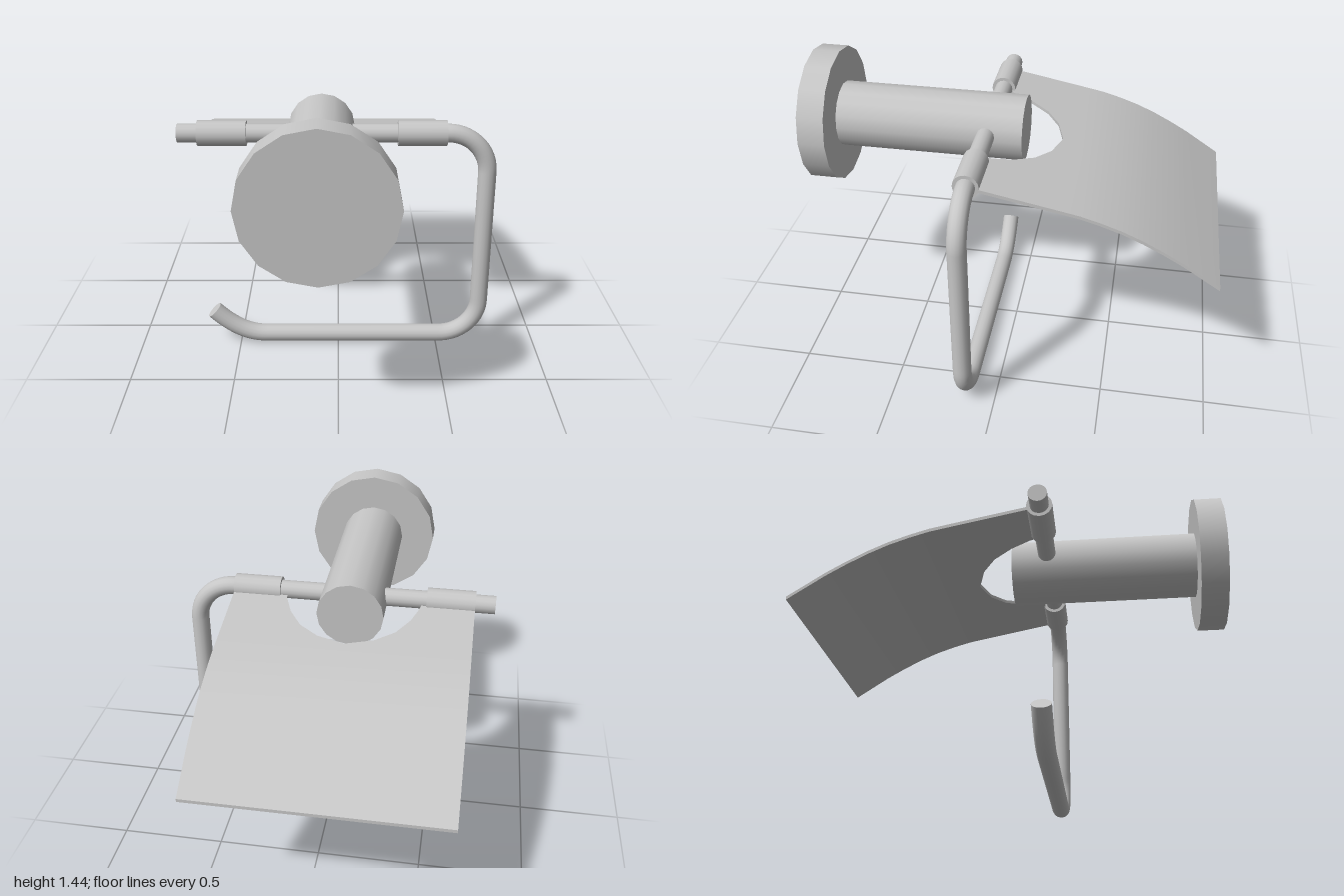
import * as THREE from 'three';
import { mergeGeometries, toCreasedNormals } from 'three/addons/utils/BufferGeometryUtils.js';

const metal = new THREE.MeshStandardMaterial({ color: 0xc6c6c6 });
metal.name = 'brushed metal';

const POST_X = -0.08, POST_Y = 1.11, BAR_Y = 1.13, BAR_Z = 0.14, BAR_R = 0.044;

function addMesh(group, name, geometry) {
  const mesh = new THREE.Mesh(geometry, metal);
  mesh.name = name;
  group.add(mesh);
  return mesh;
}

// Cylinder along z between two depths
function zCylinder(radius, z0, z1) {
  return new THREE.CylinderGeometry(radius, radius, z1 - z0, 16)
    .rotateX(Math.PI / 2).translate(POST_X, POST_Y, (z0 + z1) / 2);
}

// Height of the cover's upper face at depth z
const coverProfile = [[0.1, 1.126], [-0.26, 1.056], [-0.36, 1.036], [-0.45, 1.01], [-0.545, 0.977],
  [-0.636, 0.937], [-0.73, 0.888], [-0.82, 0.836], [-0.99, 0.724]];
function coverY(z) {
  let i = 1;
  while (i < coverProfile.length - 1 && z < coverProfile[i][0]) i++;
  const [z0, y0] = coverProfile[i - 1], [z1, y1] = coverProfile[i];
  return y0 + (y1 - y0) * (z - z0) / (z1 - z0);
}

// Thin bent slab from rows [z, xLow, xHigh], ordered from front to back
function slab(rows, capFront, capBack) {
  const pos = [], idx = [], t = 0.016;
  for (const [z, a, b] of rows) {
    const y = coverY(z);
    pos.push(a, y, z, b, y, z, b, y - t, z, a, y - t, z);
  }
  const quad = (a, b, c, d) => idx.push(a, b, c, a, c, d);
  for (let i = 0; i < rows.length - 1; i++) {
    for (let k = 0; k < 4; k++) {
      const n = (k + 1) % 4, o = i * 4;
      quad(o + k, o + n, o + 4 + n, o + 4 + k);
    }
  }
  if (capFront) quad(3, 2, 1, 0);
  const e = (rows.length - 1) * 4;
  if (capBack) quad(e, e + 1, e + 2, e + 3);
  const g = new THREE.BufferGeometry();
  g.setAttribute('position', new THREE.Float32BufferAttribute(pos, 3));
  g.setIndex(idx);
  return g;
}

// Bent bar path with rounded corners, plus an upturned end
function barPath() {
  const v = (x, y) => new THREE.Vector3(x, y, BAR_Z);
  const right = 0.711, low = 0.047, r = 0.195, k = r * 0.448;
  const path = new THREE.CurvePath();
  const line = (a, b) => path.add(new THREE.LineCurve3(a, b));
  const bend = (a, b, c, d) => path.add(new THREE.CubicBezierCurve3(a, b, c, d));
  line(v(-0.755, BAR_Y), v(right - r, BAR_Y));
  bend(v(right - r, BAR_Y), v(right - k, BAR_Y), v(right, BAR_Y - k), v(right, BAR_Y - r));
  line(v(right, BAR_Y - r), v(right, low + r));
  bend(v(right, low + r), v(right, low + k), v(right - k, low), v(right - r, low));
  line(v(right - r, low), v(-0.37, low));
  bend(v(-0.37, low), v(-0.47, low), v(-0.55, 0.1), v(-0.63, 0.18));
  return path;
}

export function createModel() {
  const model = new THREE.Group();
  model.name = 'paperRollHolder';

  // Round mounting plate and post
  addMesh(model, 'mountingPlate', zCylinder(0.33, 0.87, 1));
  addMesh(model, 'post', zCylinder(0.16, -0.035, 0.87));

  // Roll bar with closed ends
  const path = barPath();
  addMesh(model, 'rollBar', new THREE.TubeGeometry(path, 160, BAR_R, 16, false));
  for (const [t, sign] of [[0, -1], [1, 1]]) {
    const cap = addMesh(model, 'barEnd', new THREE.CircleGeometry(BAR_R, 16));
    const p = path.getPointAt(t);
    cap.position.copy(p);
    cap.lookAt(p.add(path.getTangentAt(t).multiplyScalar(sign)));
  }

  // Hinge sleeves around the bar
  for (const [a, b] of [[-0.66, -0.43], [0.28, 0.51]]) {
    addMesh(model, 'hingeSleeve', new THREE.CylinderGeometry(0.06, 0.06, b - a, 16)
      .rotateZ(Math.PI / 2).translate((a + b) / 2, BAR_Y, BAR_Z));
  }

  // Curved cover: two arms around the arched cutout, then the full-width flap
  const arch = [[0.09, 0.325], [0.07, 0.322], [-0.02, 0.287], [-0.11, 0.225], [-0.175, 0.132], [-0.213, 0]];
  const back = [[-0.213, -0.66, 0.51]];
  for (const [z] of coverProfile.slice(1)) back.push([z, -0.66, 0.51]);
  const parts = [
    slab(arch.map(([z, w]) => [z, -0.66, POST_X - w]), true, false),
    slab(arch.map(([z, w]) => [z, POST_X + w, 0.51]), true, false),
    slab(back, false, true),
  ];
  addMesh(model, 'cover', toCreasedNormals(mergeGeometries(parts), 0.6));

  return model;
}
